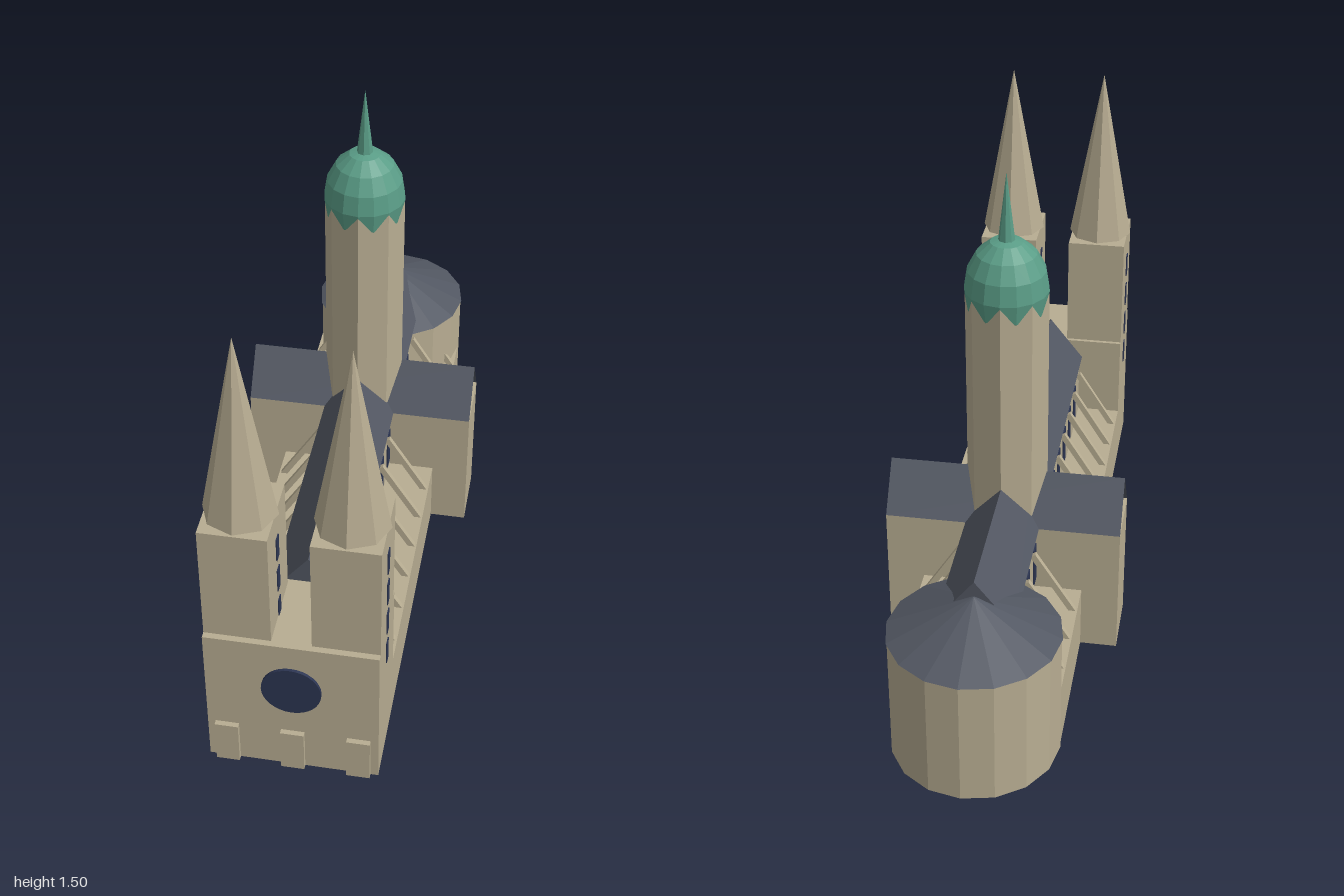
import * as THREE from 'three';

export function createModel() {
  const root = new THREE.Group();
  const mat = (name, color, side = THREE.FrontSide) =>
    Object.assign(new THREE.MeshStandardMaterial({ color, flatShading: true, side }), { name });
  const stone = mat('stone', 0xb8ad92);
  const slate = mat('slate', 0x525762, THREE.DoubleSide);
  const glass = mat('darkGlass', 0x2c3552);
  const copper = mat('greenCopper', 0x5a9d87);

  const add = (name, geometry, material, x = 0, y = 0, z = 0) => {
    const mesh = new THREE.Mesh(geometry, material);
    mesh.name = name;
    mesh.position.set(x, y, z);
    root.add(mesh);
    return mesh;
  };
  // Box given by its limits on each axis
  const block = (name, material, [x0, x1], [y0, y1], [z0, z1]) =>
    add(name, new THREE.BoxGeometry(x1 - x0, y1 - y0, z1 - z0), material,
      (x0 + x1) / 2, (y0 + y1) / 2, (z0 + z1) / 2);

  // Main body: aisles, nave walls, transept
  block('aisles', stone, [-0.24, 0.24], [0, 0.2], [-0.75, 0.75]);
  block('naveWalls', stone, [-0.1, 0.1], [0.2, 0.41], [-0.75, 0.735]);
  block('transept', stone, [-0.35, 0.35], [0, 0.41], [-0.292, -0.092]);

  // Nave roof: a closed prism
  const gable = new THREE.Shape();
  gable.moveTo(-0.11, 0.41).lineTo(0.11, 0.41).lineTo(0, 0.55).closePath();
  add('naveRoof', new THREE.ExtrudeGeometry(gable, { depth: 1.48, bevelEnabled: false }),
    slate, 0, 0, -0.75);

  // Transept roof: two slopes with open ends
  for (const s of [-1, 1]) {
    const slope = new THREE.PlaneGeometry(0.7, Math.hypot(0.1, 0.14));
    slope.rotateX(-Math.atan2(0.1, 0.14));
    if (s < 0) slope.rotateY(Math.PI);
    add('transeptRoofSlope', slope, slate, 0, 0.48, -0.192 + s * 0.05);
  }

  // Apse
  add('apse', new THREE.CylinderGeometry(0.242, 0.242, 0.39, 16), stone, 0, 0.195, -0.755);
  add('apseRoof', new THREE.ConeGeometry(0.245, 0.115, 16), slate, 0, 0.4475, -0.755);

  // Nave windows and flying buttresses on both sides
  for (const s of [-1, 1]) {
    for (let k = 0; k < 11; k++) {
      if (k === 6 || k === 7) continue;
      const strut = add('flyingButtress', new THREE.BoxGeometry(0.018, 0.225, 0.016), stone,
        s * 0.167, 0.291, 0.655 - 0.13 * k);
      strut.rotation.z = s * Math.atan2(0.12, 0.19);
    }
    for (const z of [0.598, 0.467, 0.337, 0.207, 0.077, -0.053, -0.313, -0.443]) {
      add('naveWindow', new THREE.BoxGeometry(0.008, 0.125, 0.045), glass, s * 0.1, 0.297, z);
    }
  }

  // West front with rose window and portals
  block('westFront', stone, [-0.24, 0.24], [0, 0.47], [0.735, 0.985]);
  const rose = add('roseWindow', new THREE.CylinderGeometry(0.083, 0.083, 0.009, 32), glass, 0, 0.308, 0.989);
  rose.rotation.x = Math.PI / 2;
  for (const x of [-0.185, 0, 0.185]) {
    block('portal', stone, [x - 0.033, x + 0.033], [0, 0.14], [0.98, 1]);
  }

  // Twin towers with spires and slit windows
  for (const s of [-1, 1]) {
    add('westTower', new THREE.BoxGeometry(0.185, 0.375, 0.22), stone, s * 0.1475, 0.6475, 0.857);
    add('westSpire', new THREE.ConeGeometry(0.102, 0.557, 8), stone, s * 0.1475, 1.1115, 0.86);
    [0.375, 0.488, 0.6, 0.712].forEach((y, i) => {
      for (const x of i ? [0.055, 0.24] : [0.24]) {
        add('slitWindow', new THREE.BoxGeometry(0.006, 0.075, 0.027), glass, s * x, y, 0.86);
      }
    });
  }

  // Crossing tower with dome and needle
  add('crossingTower', new THREE.CylinderGeometry(0.12, 0.12, 0.75, 8), stone, 0, 0.775, -0.188);
  const dome = add('dome', new THREE.SphereGeometry(0.121, 16, 8), copper, 0, 1.15, -0.188);
  dome.scale.y = 0.155 / 0.121;
  add('domeNeedle', new THREE.ConeGeometry(0.026, 0.22, 8), copper, 0, 1.39, -0.188);

  return root;
}
